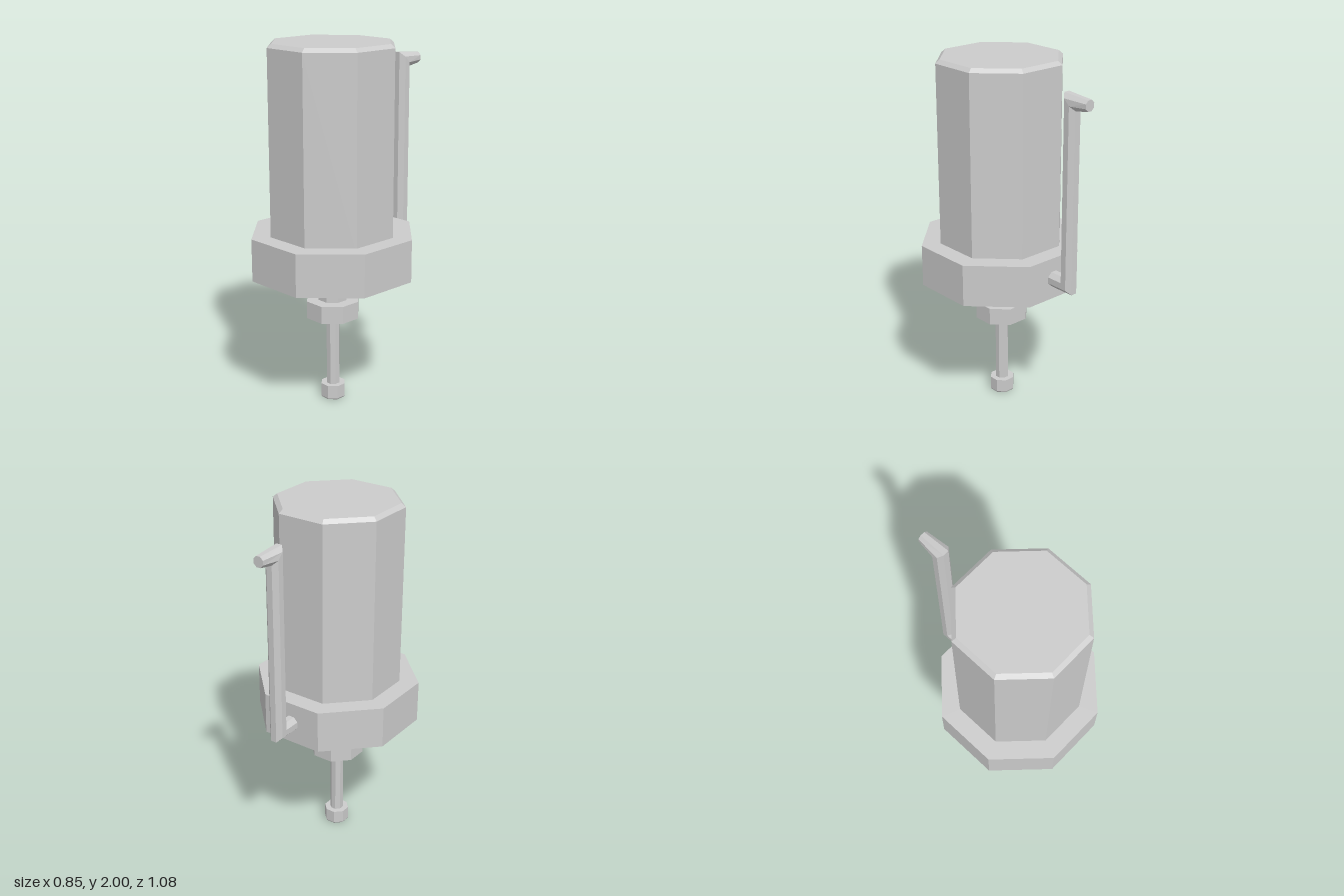
import * as THREE from 'three';

const AXIS_Z = 0.116;
const CORNER = 1 / Math.cos(Math.PI / 8); // flat-to-corner ratio of an octagon

const material = new THREE.MeshStandardMaterial({ color: 0xcccccc, flatShading: true });

// Octagonal turned part: profile of [half width across flats, y], from the bottom axis out and up
function turned(name, profile) {
  const points = profile.map(([r, y]) => new THREE.Vector2(r * CORNER, y));
  const mesh = new THREE.Mesh(new THREE.LatheGeometry(points, 8, Math.PI / 8), material);
  mesh.name = name;
  mesh.position.z = AXIS_Z;
  return mesh;
}

const prism = (name, r, y0, y1) => turned(name, [[0, y0], [r, y0], [r, y1], [0, y1]]);

// Octagonal pipe with mitred bends, lying in the plane x = 0
// Each section: centre z, centre y, direction of its first axis (z, y), half width
function mitredPipe(name, sections) {
  const n = 8, pos = [], idx = [];
  for (const [z, y, dz, dy, r] of sections) {
    for (let i = 0; i < n; i++) {
      const a = (i + 0.5) * Math.PI * 2 / n;
      const u = Math.cos(a) * r * CORNER, x = Math.sin(a) * r * CORNER;
      pos.push(x, y + dy * u, z + dz * u);
    }
  }
  for (let s = 0; s < sections.length - 1; s++) {
    for (let i = 0; i < n; i++) {
      const a = s * n + i, b = s * n + (i + 1) % n;
      idx.push(a, b, a + n, b, b + n, a + n);
    }
  }
  // End caps
  const last = (sections.length - 1) * n;
  for (let i = 1; i < n - 1; i++) {
    idx.push(0, i + 1, i);
    idx.push(last, last + i, last + i + 1);
  }
  const geometry = new THREE.BufferGeometry();
  geometry.setAttribute('position', new THREE.Float32BufferAttribute(pos, 3));
  geometry.setIndex(idx);
  geometry.computeVertexNormals();
  const mesh = new THREE.Mesh(geometry, material);
  mesh.name = name;
  return mesh;
}

export function createModel() {
  const model = new THREE.Group();
  model.name = 'cylinderUnit';

  model.add(
    // Main housing with a bevelled top edge
    turned('housing', [[0, 0.95], [0.325, 0.95], [0.325, 1.98], [0.303, 2], [0, 2]]),
    // Wide collar, hollowed slightly underneath
    turned('collar', [[0, 0.79], [0.375, 0.79], [0.375, 0.745], [0.424, 0.745], [0.424, 0.98], [0, 0.98]]),
    // Stepped parts below the collar
    prism('upperNut', 0.145, 0.712, 0.795),
    prism('neck', 0.077, 0.58, 0.72),
    prism('lowerNut', 0.141, 0.49, 0.588),
    prism('rod', 0.035, 0.07, 0.5),
    turned('foot', [[0, 0], [0.06, 0], [0.065, 0.008], [0.065, 0.083], [0, 0.083]]),
    // Side pipe: out of the collar, up, then out again to a tapered tip
    mitredPipe('sidePipe', [
      [-0.29, 0.862, 0, 1, 0.041],
      [-0.42, 0.862, 1, 1, 0.041],
      [-0.42, 1.861, 1, 1, 0.041],
      [-0.54, 1.861, 0, 1, 0.029],
    ]),
  );
  return model;
}
